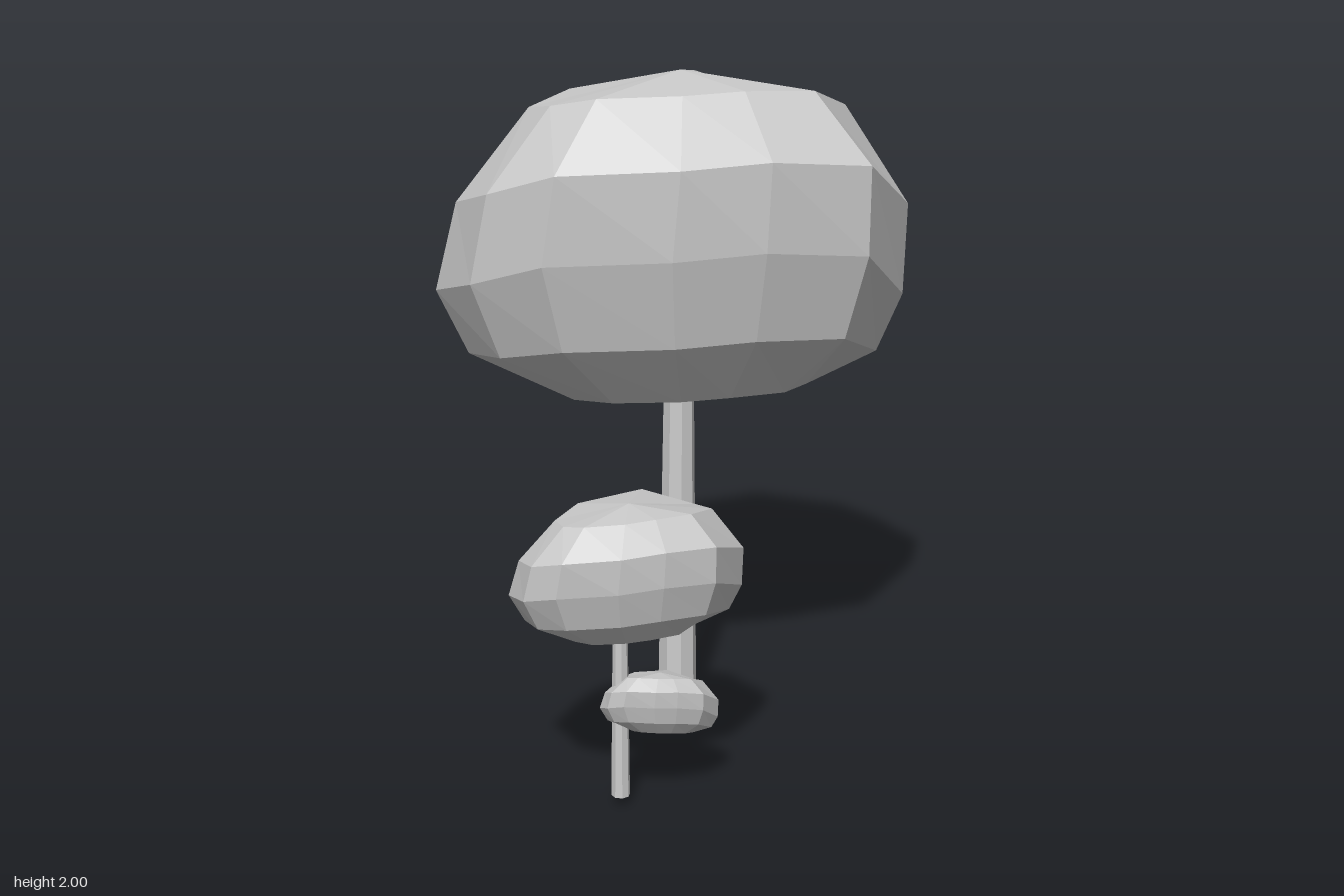
import * as THREE from 'three';

const material = new THREE.MeshStandardMaterial({ color: 0xcccccc, flatShading: true });

// Canopy outline around its core: x, z and how far the spoke droops
const SPOKES = [
  [-0.06, 0.59, 0], [0.23, 0.38, -0.01], [0.41, 0.18, -0.02], [0.57, -0.11, 0.02], [0.47, -0.51, 0.21],
  [0.19, -0.61, 0.29], [-0.29, -0.4, 0.06], [-0.65, 0.06, 0.13], [-0.58, 0.42, 0.16], [-0.32, 0.58, 0.08],
];

// Canopy layers from top to bottom: height, x and z spread, offset and share of the droop
const LAYERS = [
  { y: 1.965, sx: 0.63, sz: 0.72, dx: 0.01, dz: -0.05, droop: 0.45 },
  { y: 1.785, sx: 0.93, sz: 1, dx: 0.035, dz: -0.01, droop: 1 },
  { y: 1.53, sx: 1, sz: 1, dx: 0, dz: 0, droop: 1.1 },
  { y: 1.27, sx: 0.88, sz: 0.88, dx: 0, dz: -0.01, droop: 0.7 },
  { y: 1.07, sx: 0.55, sz: 0.55, dx: 0, dz: -0.03, droop: 0.2 },
];
const CORE = { x: 0.04, z: -0.13 };

// Lumpy, leaning leaf mass; place() maps it to its spot on a tree
function makeCanopy(name, place) {
  const n = SPOKES.length;
  const points = [];
  const index = [];
  for (const { y, sx, sz, dx, dz, droop } of LAYERS) {
    for (const [x, z, d] of SPOKES) {
      points.push(...place(CORE.x + dx + x * sx, y - d * droop, CORE.z + dz + z * sz));
    }
  }
  const top = LAYERS.length * n;
  const bottom = top + 1;
  points.push(...place(CORE.x, 2, CORE.z), ...place(CORE.x, 1.1, CORE.z));
  for (let i = 0; i < n; i++) {
    const j = (i + 1) % n;
    index.push(top, i, j);
    for (let r = 0; r < LAYERS.length - 1; r++) {
      const a = r * n, b = a + n;
      index.push(a + i, b + i, b + j, a + i, b + j, a + j);
    }
    const last = (LAYERS.length - 1) * n;
    index.push(bottom, last + j, last + i);
  }
  const geometry = new THREE.BufferGeometry();
  geometry.setAttribute('position', new THREE.Float32BufferAttribute(points, 3));
  geometry.setIndex(index);
  geometry.computeVertexNormals();
  const mesh = new THREE.Mesh(geometry, material);
  mesh.name = name;
  return mesh;
}

// Slightly tapered eight-sided stem
function makeTrunk(name, x, z, y0, y1, topRadius, baseRadius) {
  const mesh = new THREE.Mesh(new THREE.CylinderGeometry(topRadius, baseRadius, y1 - y0, 8), material);
  mesh.position.set(x, (y0 + y1) / 2, z);
  mesh.name = name;
  return mesh;
}

export function createModel() {
  const model = new THREE.Group();
  model.name = 'trees';

  // Tall tree
  const tallTree = new THREE.Group();
  tallTree.name = 'tallTree';
  tallTree.add(
    makeTrunk('tallTrunk', 0.04, -0.13, 0, 1.13, 0.045, 0.061),
    makeCanopy('tallCanopy', (x, y, z) => [x, y, z]),
  );

  // Small tree with two tiers of leaves, the lower one tilted
  const smallTree = new THREE.Group();
  smallTree.name = 'smallTree';
  smallTree.add(
    makeTrunk('smallTrunk', 0.26, 0.49, 0.03, 0.58, 0.021, 0.027),
    makeCanopy('upperCanopy', (x, y, z) => [0.25 + 0.44 * x, 0.51 + 0.4 * (y - 1.01), 0.525 + 0.512 * z]),
    makeCanopy('lowerCanopy', (x, y, z) => {
      const depth = 0.439 + 0.23 * z - 0.03 * x;
      return [0.328 + 0.2 * x - 0.03 * z, 0.212 + 0.19 * (y - 1.01) + 0.2 * (depth - 0.41), depth];
    }),
  );

  model.add(tallTree, smallTree);
  return model;
}
